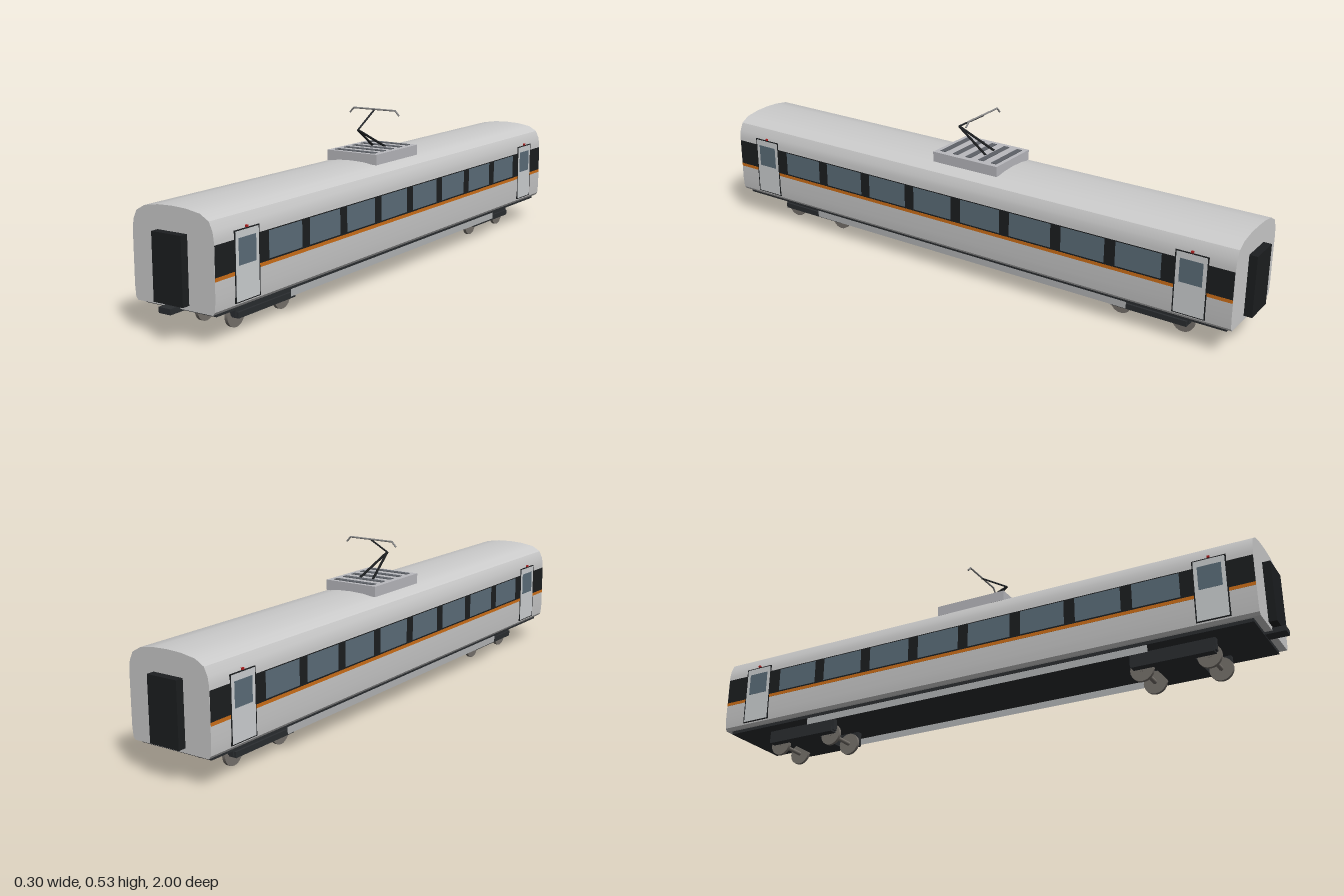
import * as THREE from 'three';
import { toCreasedNormals } from 'three/addons/utils/BufferGeometryUtils.js';

const paint = (color, side = THREE.FrontSide) => new THREE.MeshStandardMaterial({ color, side });
const shell = paint(0xbcbebf), doorGrey = paint(0xcfd2d4), dark = paint(0x1c1e20), frame = paint(0x2a2d30);
const glass = paint(0x5c6e7a), orange = paint(0xd07018), steel = paint(0x77726c), slat = paint(0x5d6167);
const base = paint(0xb9b9be), headGrey = paint(0x8c8c8c), red = paint(0xb02020);
const skirtGrey = paint(0xb4b6b7, THREE.DoubleSide);

const FRONT = 0.96, BACK = -0.974;

export function createModel() {
  const model = new THREE.Group();

  const add = (name, geo, mat, parent = model) => {
    const mesh = new THREE.Mesh(geo, mat);
    mesh.name = name;
    parent.add(mesh);
    return mesh;
  };
  // Box given by its limits on each axis
  const box = (name, mat, [x0, x1], [y0, y1], [z0, z1], parent) => {
    const mesh = add(name, new THREE.BoxGeometry(x1 - x0, y1 - y0, z1 - z0), mat, parent);
    mesh.position.set((x0 + x1) / 2, (y0 + y1) / 2, (z0 + z1) / 2);
    return mesh;
  };
  // Straight rod between two points
  const rod = (name, mat, a, b, r, parent) => {
    const from = new THREE.Vector3(...a), dir = new THREE.Vector3(...b).sub(from);
    const mesh = add(name, new THREE.CylinderGeometry(r, r, dir.length(), 8), mat, parent);
    mesh.position.copy(from).addScaledVector(dir, 0.5);
    mesh.quaternion.setFromUnitVectors(new THREE.Vector3(0, 1, 0), dir.normalize());
    return mesh;
  };

  // Car body: half profile mirrored and extruded along the car
  const half = [[0.136, 0.093], [0.143, 0.102], [0.146, 0.135], [0.146, 0.295], [0.142, 0.322],
    [0.13, 0.348], [0.1, 0.365], [0.05, 0.373]];
  const outline = [...half, [0, 0.375], ...half.map(([x, y]) => [-x, y]).reverse()];
  const profile = new THREE.Shape(outline.map(([x, y]) => new THREE.Vector2(x, y)));
  const bodyGeo = new THREE.ExtrudeGeometry(profile, { depth: FRONT - BACK, bevelEnabled: false });
  bodyGeo.translate(0, 0, BACK);
  add('carBody', toCreasedNormals(bodyGeo, 0.4), shell);

  // Underframe, end gangways and coupler
  box('underframe', frame, [-0.128, 0.128], [0.082, 0.096], [-0.955, 0.937]);
  box('frontGangway', dark, [-0.053, 0.053], [0.107, 0.304], [FRONT - 0.01, 0.985]);
  box('rearGangway', dark, [-0.053, 0.053], [0.107, 0.304], [-1, BACK + 0.01]);
  box('coupler', frame, [-0.021, 0.021], [0.085, 0.102], [0.92, 1]);

  // Side trim, windows, doors and skirts on both sides
  for (const s of [1, -1]) {
    const side = new THREE.Group();
    side.name = s > 0 ? 'leftSide' : 'rightSide';
    model.add(side);
    const panel = (name, mat, out, y, z) =>
      box(name, mat, s > 0 ? [0.14, out] : [-out, -0.14], y, z, side);

    panel('windowBand', dark, 0.1465, [0.197, 0.285], [BACK + 0.001, FRONT - 0.001]);
    panel('accentStripe', orange, 0.1468, [0.186, 0.197], [BACK + 0.001, FRONT - 0.001]);
    for (let i = 0; i < 8; i++) {
      const z = 0.656 - i * 0.1893;
      panel('window', glass, 0.147, [0.202, 0.282], [z - 0.076, z + 0.076]);
    }
    for (const z of [0.826, -0.84]) {
      panel('doorSurround', dark, 0.1469, [0.107, 0.309], [z - 0.053, z + 0.053]);
      panel('door', doorGrey, 0.1474, [0.11, 0.306], [z - 0.049, z + 0.049]);
      panel('doorWindow', glass, 0.1478, [0.21, 0.286], [z - 0.037, z + 0.037]);
      panel('doorLamp', red, 0.149, [0.31, 0.316], [z - 0.004, z + 0.004]);
    }
    const skirt = add('skirt', new THREE.PlaneGeometry(1.24, 0.03), skirtGrey, side);
    skirt.rotation.y = s * Math.PI / 2;
    skirt.position.set(s * 0.127, 0.074, -0.008);
  }

  // Bogies with two wheelsets each
  for (const z of [0.672, -0.683]) {
    const bogie = new THREE.Group();
    bogie.name = z > 0 ? 'frontBogie' : 'rearBogie';
    bogie.position.z = z;
    model.add(bogie);
    box('bolster', frame, [-0.083, 0.083], [0.036, 0.084], [-0.065, 0.065], bogie);
    for (const s of [1, -1]) {
      const span = (a, b) => (s > 0 ? [a, b] : [-b, -a]);
      box('sideFrame', frame, span(0.064, 0.083), [0.042, 0.084], [-0.135, 0.135], bogie);
      box('sideBeam', frame, span(0.064, 0.09), [0.036, 0.054], [-0.13, 0.13], bogie);
    }
    for (const az of [0.106, -0.106]) {
      rod('axle', steel, [-0.062, 0.0375, az], [0.062, 0.0375, az], 0.007, bogie);
      for (const s of [1, -1]) {
        const wheel = add('wheel', new THREE.CylinderGeometry(0.0375, 0.0375, 0.011, 24), steel, bogie);
        wheel.rotation.z = Math.PI / 2;
        wheel.position.set(s * 0.055, 0.0375, az);
      }
    }
  }

  // Roof equipment box with slats
  box('roofBox', base, [-0.096, 0.096], [0.368, 0.402], [-0.133, 0.117]);
  for (let i = 0; i < 5; i++) {
    const z = -0.109 + i * 0.05;
    box('roofSlat', slat, [-0.077, 0.077], [0.4, 0.404], [z - 0.01, z + 0.01]);
  }

  // Folding current collector
  const collector = new THREE.Group();
  collector.name = 'currentCollector';
  model.add(collector);
  const knee = [0, 0.47, 0.08];
  for (const s of [1, -1]) rod('lowerArm', dark, [s * 0.025, 0.402, -0.043], knee, 0.004, collector);
  rod('upperArm', frame, knee, [0, 0.526, -0.016], 0.003, collector);
  rod('contactBar', headGrey, [-0.083, 0.528, -0.016], [0.083, 0.528, -0.016], 0.003, collector);
  for (const s of [1, -1]) {
    rod('contactHorn', headGrey, [s * 0.082, 0.528, -0.016], [s * 0.097, 0.512, -0.016], 0.003, collector);
  }
  return model;
}
